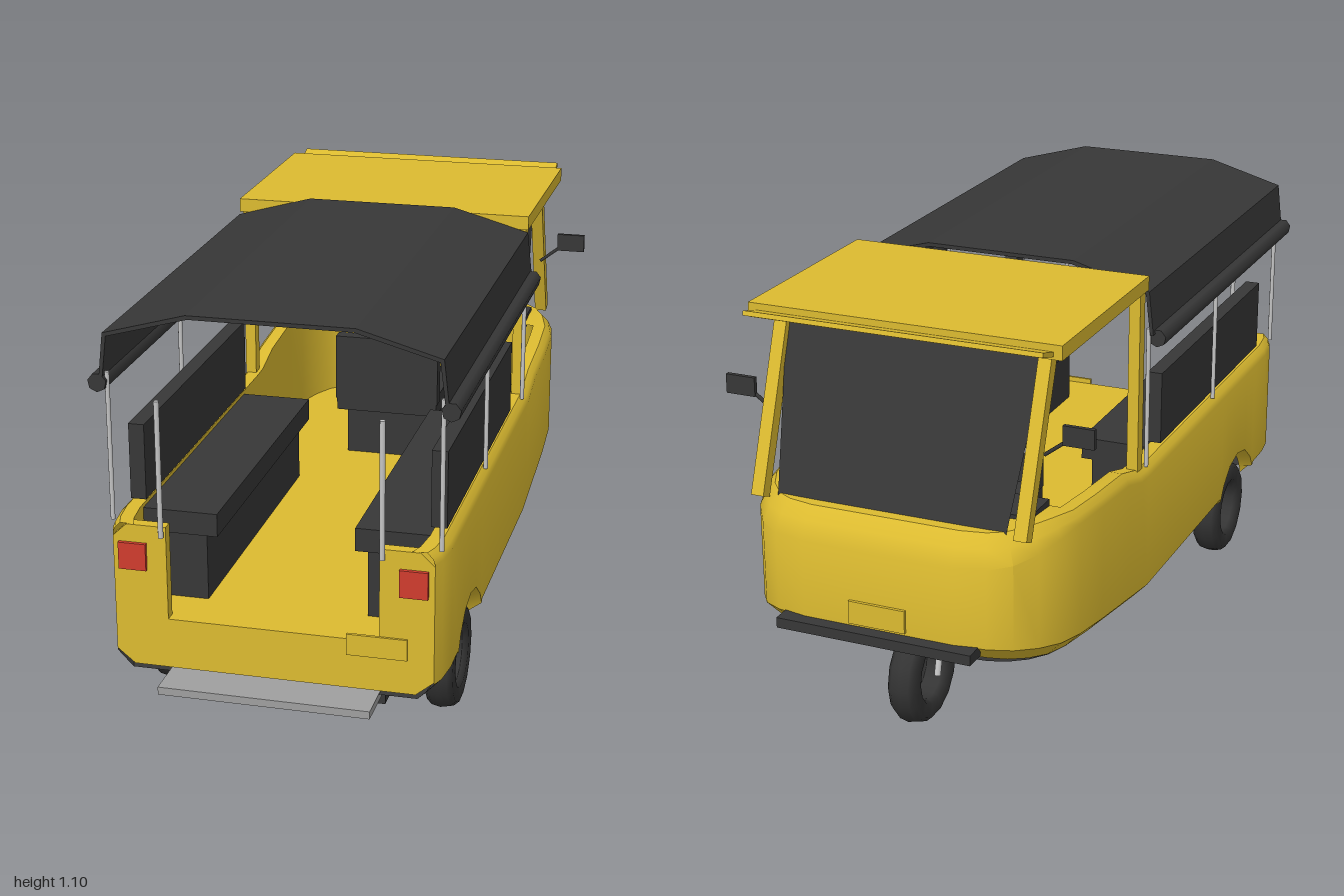
import * as THREE from 'three';
import { toCreasedNormals } from 'three/addons/utils/BufferGeometryUtils.js';

const mat = (name, color) => new THREE.MeshStandardMaterial({ name, color, side: THREE.DoubleSide });

export function createModel() {
  const model = new THREE.Group();
  model.name = 'threeWheeledTaxi';
  const yellow = mat('yellowPaint', 0xdcbb30);
  const black = mat('blackVinyl', 0x373737);
  const rubber = mat('tyreRubber', 0x343434);
  const silver = mat('silverMetal', 0xc6c6c6);
  const grey = mat('greyStep', 0x9f9f9f);
  const red = mat('redLens', 0xd03c2e);

  const add = (name, geometry, material) => {
    const mesh = new THREE.Mesh(geometry, material);
    mesh.name = name;
    model.add(mesh);
    return mesh;
  };
  // Box given by its limits on each axis
  const box = (name, m, x0, x1, y0, y1, z0, z1) => {
    const b = add(name, new THREE.BoxGeometry(Math.abs(x1 - x0), y1 - y0, Math.abs(z1 - z0)), m);
    b.position.set((x0 + x1) / 2, (y0 + y1) / 2, (z0 + z1) / 2);
    return b;
  };
  // Straight bar between two points; four sides give a square bar
  const bar = (name, m, a, b, r, sides = 8) => {
    const p = new THREE.Vector3(...a), q = new THREE.Vector3(...b);
    const g = new THREE.CylinderGeometry(r, r, p.distanceTo(q), sides);
    if (sides === 4) g.rotateY(Math.PI / 4);
    const c = add(name, sides === 4 ? toCreasedNormals(g, 0.5) : g, m);
    c.position.copy(p).add(q).multiplyScalar(0.5);
    c.quaternion.setFromUnitVectors(new THREE.Vector3(0, 1, 0), q.sub(p).normalize());
  };
  // Surface through rows of points of equal length
  const loft = (rows) => {
    const n = rows[0].length, index = [];
    for (let i = 0; i < rows.length - 1; i++)
      for (let j = 0; j < n - 1; j++) {
        const a = i * n + j, b = a + n;
        index.push(a, b, a + 1, b, b + 1, a + 1);
      }
    const g = new THREE.BufferGeometry();
    g.setAttribute('position', new THREE.Float32BufferAttribute(rows.flat(2), 3));
    g.setIndex(index);
    return toCreasedNormals(g, 0.6);
  };
  // Piecewise linear lookup, keys in descending z
  const lookup = (keys, z) => {
    if (z >= keys[0][0]) return keys[0][1];
    for (let i = 1; i < keys.length; i++) {
      const [z0, v0] = keys[i - 1], [z1, v1] = keys[i];
      if (z >= z1) return v0 + (v1 - v0) * (z - z0) / (z1 - z0);
    }
    return keys[keys.length - 1][1];
  };

  // Body tub: one profile swept around the sides and nose
  const rearZ = 0.555, axleY = 0.142, archR = 0.165;
  const topY = (z) => lookup([[-0.26, 0.575], [-0.37, 0.607], [-0.8, 0.645], [-0.965, 0.64]], z);
  const baseY = (z) => lookup([[-0.22, 0.19], [-0.79, 0.28], [-0.965, 0.32]], z);
  const half = [[0.4, 0.905], [0.412, 0.87], [0.42, 0.8]];
  for (const d of [0.159, 0.15, 0.125, 0.07, 0, -0.07, -0.125, -0.15, -0.159]) half.push([0.42, rearZ + d]);
  half.push([0.42, 0.1], [0.42, -0.22], [0.42, -0.27], [0.42, -0.37], [0.42, -0.55], [0.416, -0.69],
    [0.402, -0.78], [0.376, -0.855], [0.335, -0.915], [0.28, -0.95], [0.2, -0.965], [0, -0.965]);
  const profiles = half.map(([x, z], i) => {
    const p = half[Math.max(i - 1, 0)], q = half[Math.min(i + 1, half.length - 1)];
    const tx = q[0] - p[0], tz = q[1] - p[1], l = Math.hypot(tx, tz);
    const [nx, nz] = x === 0 ? [0, 1] : i < 3 ? [-1, 0] : [tz / l, -tx / l];
    const k = THREE.MathUtils.clamp((-z - 0.68) / 0.27, 0, 1);
    const inArch = Math.abs(z - rearZ) < 0.1585;
    const lo = inArch ? axleY + Math.sqrt(archR ** 2 - (z - rearZ) ** 2) : baseY(z);
    const hi = topY(z);
    return [
      [0.04, lo], [0, lo + (inArch ? 0.012 : 0.042)], [0, hi - 0.03 - 0.045 * k],
      [0.006 + 0.015 * k, hi - 0.014 - 0.018 * k], [0.02 + 0.03 * k, hi],
      [0.055 + 0.03 * k, hi], [0.055 + 0.03 * k, 0.33],
    ].map(([inset, y]) => [x + nx * inset, y, z + nz * inset]);
  });
  const mirrorRow = (row) => row.map(([x, y, z]) => [-x, y, z]);
  const around = [...profiles, ...profiles.slice(0, -1).reverse().map(mirrorRow)];
  add('bodyShell', loft(around.map((r) => r.slice(1))), yellow);

  // Lower chamfer: black skirt along the rear, yellow at arches and nose
  const chamfer = (name, from, to, m) => {
    const rows = profiles.slice(from, to + 1).map((r) => r.slice(0, 2));
    add(name, loft(rows), m);
    add(name, loft(rows.map(mirrorRow)), m);
  };
  const slopeStart = half.findIndex(([, z]) => z === -0.22);
  chamfer('rearSkirt', 0, 3, black);
  chamfer('wheelArchEdge', 3, 11, yellow);
  chamfer('sideSkirt', 11, slopeStart, black);
  chamfer('noseChamfer', slopeStart, half.length - 1, yellow);

  // Underside, floor and cowl deck
  const across = ([x, y, z]) => [[x, y, z], [-x, y, z]];
  add('underside', loft(profiles.map((r, i) => {
    const inner = i >= 3 && i <= 11;
    return across([inner ? 0.315 : r[0][0], baseY(r[0][2]), r[0][2]]);
  })), black);
  add('floor', loft(profiles.map((r) => across(r[6]))), yellow);
  add('cowlDeck', loft(profiles.slice(half.findIndex(([, z]) => z === -0.69)).map((r) => across(r[5]))), yellow);
  box('wheelWell', black, -0.315, 0.315, 0.19, 0.315, 0.39, 0.72);
  box('underfloorTank', black, -0.235, 0.235, 0.06, 0.2, 0.365, 0.71);
  box('pedalBracket', grey, -0.04, 0.04, 0.235, 0.27, -0.53, -0.41);

  // Rear panel with the entrance cut out
  const outline = [[0.355, 0.2], [0.4, 0.237], [0.4, 0.54], [0.365, 0.573], [0.265, 0.573], [0.265, 0.33]];
  const pts = [...outline, ...outline.slice().reverse().map(([x, y]) => [-x, y])];
  const panel = new THREE.ExtrudeGeometry(new THREE.Shape(pts.map((p) => new THREE.Vector2(...p))),
    { depth: 0.03, bevelEnabled: false });
  add('rearPanel', panel, yellow).position.z = 0.875;
  box('rearPlate', yellow, 0.185, 0.335, 0.29, 0.345, 0.903, 0.911);
  box('nosePlate', yellow, -0.075, 0.075, 0.37, 0.43, -0.973, -0.962);
  box('rearStep', grey, -0.265, 0.265, 0.172, 0.192, 0.88, 1.0);
  box('frontBumper', black, -0.26, 0.26, 0.335, 0.362, -1.0, -0.94);

  // Paired parts on both sides
  for (const s of [1, -1]) {
    box('tailLight', red, s * 0.315, s * 0.385, 0.457, 0.527, 0.9, 0.915);
    box('benchBase', black, s * 0.205, s * 0.365, 0.33, 0.507, -0.08, 0.77);
    box('benchCushion', black, s * 0.175, s * 0.365, 0.505, 0.565, -0.08, 0.78);
    box('benchBackrest', black, s * 0.36, s * 0.4, 0.583, 0.78, -0.08, 0.77);
    for (const z of [0.875, 0.33, -0.215]) bar('canopyPole', silver, [s * 0.409, 0.57, z], [s * 0.409, 0.95, z], 0.006);
    bar('grabRail', silver, [s * 0.274, 0.55, 0.915], [s * 0.274, 0.9, 0.915], 0.007);
    box('doorPillar', yellow, s * 0.375, s * 0.405, 0.57, 1.06, -0.27, -0.235);
    bar('windscreenPillar', yellow, [s * 0.35, 0.63, -0.895], [s * 0.35, 1.06, -0.735], 0.024, 4);
    bar('mirrorArm', black, [s * 0.36, 0.81, -0.785], [s * 0.425, 0.86, -0.79], 0.005, 6);
    box('mirror', black, s * 0.41, s * 0.49, 0.845, 0.895, -0.797, -0.785);
    bar('rolledSideCurtain', black, [s * 0.43, 0.924, -0.21], [s * 0.43, 0.924, 0.89], 0.024, 7);
    bar('frontFork', silver, [s * 0.045, 0.29, -0.692], [s * 0.045, 0.135, -0.733], 0.009);
  }

  // Canopy: a thin folded sheet
  const fold = [[0.425, 0.935], [0.412, 1.05], [0.205, 1.108]];
  const inside = [[0.2, 1.098], [0.403, 1.042], [0.416, 0.935]];
  const flip = (list) => list.slice().reverse().map(([x, y]) => [-x, y]);
  const sheet = new THREE.Shape([...fold, ...flip(fold), ...flip(inside), ...inside].map(([x, y]) => new THREE.Vector2(x, y)));
  // Inner edge runs back from left to right
  sheet.curves.length = 0;
  sheet.setFromPoints([...fold, ...flip(fold), ...inside.slice().reverse().map(([x, y]) => [-x, y]), ...inside]
    .map(([x, y]) => new THREE.Vector2(x, y)));
  add('canopy', new THREE.ExtrudeGeometry(sheet, { depth: 1.115, bevelEnabled: false }), black).position.z = -0.225;

  // Cab roof, brow and windscreen
  box('cabRoof', yellow, -0.412, 0.412, 1.057, 1.094, -0.805, -0.228);
  const brow = box('roofBrow', yellow, -0.39, 0.39, 1.07, 1.082, -0.87, -0.78);
  brow.rotation.x = 0.28;
  add('windscreen', loft([
    [[-0.305, 0.635, -0.887], [0.305, 0.635, -0.887]],
    [[-0.345, 1.057, -0.735], [0.345, 1.057, -0.735]],
  ]), black);

  // Driver's seat and controls
  box('driverSeatBase', black, -0.12, 0.12, 0.33, 0.47, -0.56, -0.31);
  box('driverSeatCushion', black, -0.147, 0.147, 0.465, 0.52, -0.58, -0.29);
  box('driverBackrest', black, -0.15, 0.15, 0.5, 0.688, -0.33, -0.29);
  box('dashboard', black, -0.333, 0.333, 0.618, 0.654, -0.81, -0.69);
  box('instrumentBox', black, -0.23, -0.15, 0.65, 0.712, -0.75, -0.71);
  box('warningLamp', red, -0.22, -0.155, 0.68, 0.698, -0.712, -0.704);
  bar('steeringColumn', silver, [0, 0.725, -0.612], [0, 0.28, -0.695], 0.01);
  const grip = new THREE.CatmullRomCurve3([[-0.24, 0.73, -0.6], [-0.13, 0.73, -0.605], [-0.05, 0.722, -0.612],
    [0.05, 0.722, -0.612], [0.13, 0.73, -0.605], [0.24, 0.73, -0.6]].map((p) => new THREE.Vector3(...p)));
  add('handlebar', new THREE.TubeGeometry(grip, 20, 0.008, 8), silver);

  // Tyres: open rings
  const ring = [[0.075, -0.022], [0.085, -0.037], [0.122, -0.037], [0.134, -0.024], [0.139, 0],
    [0.134, 0.024], [0.122, 0.037], [0.085, 0.037], [0.075, 0.022], [0.075, -0.022]];
  const tyre = new THREE.LatheGeometry(ring.map((p) => new THREE.Vector2(...p)), 14);
  tyre.rotateZ(Math.PI / 2);
  for (const [name, x, z] of [['frontWheel', 0, -0.728], ['leftRearWheel', 0.363, rearZ], ['rightRearWheel', -0.363, rearZ]])
    add(name, tyre, rubber).position.set(x, axleY, z);

  return model;
}
